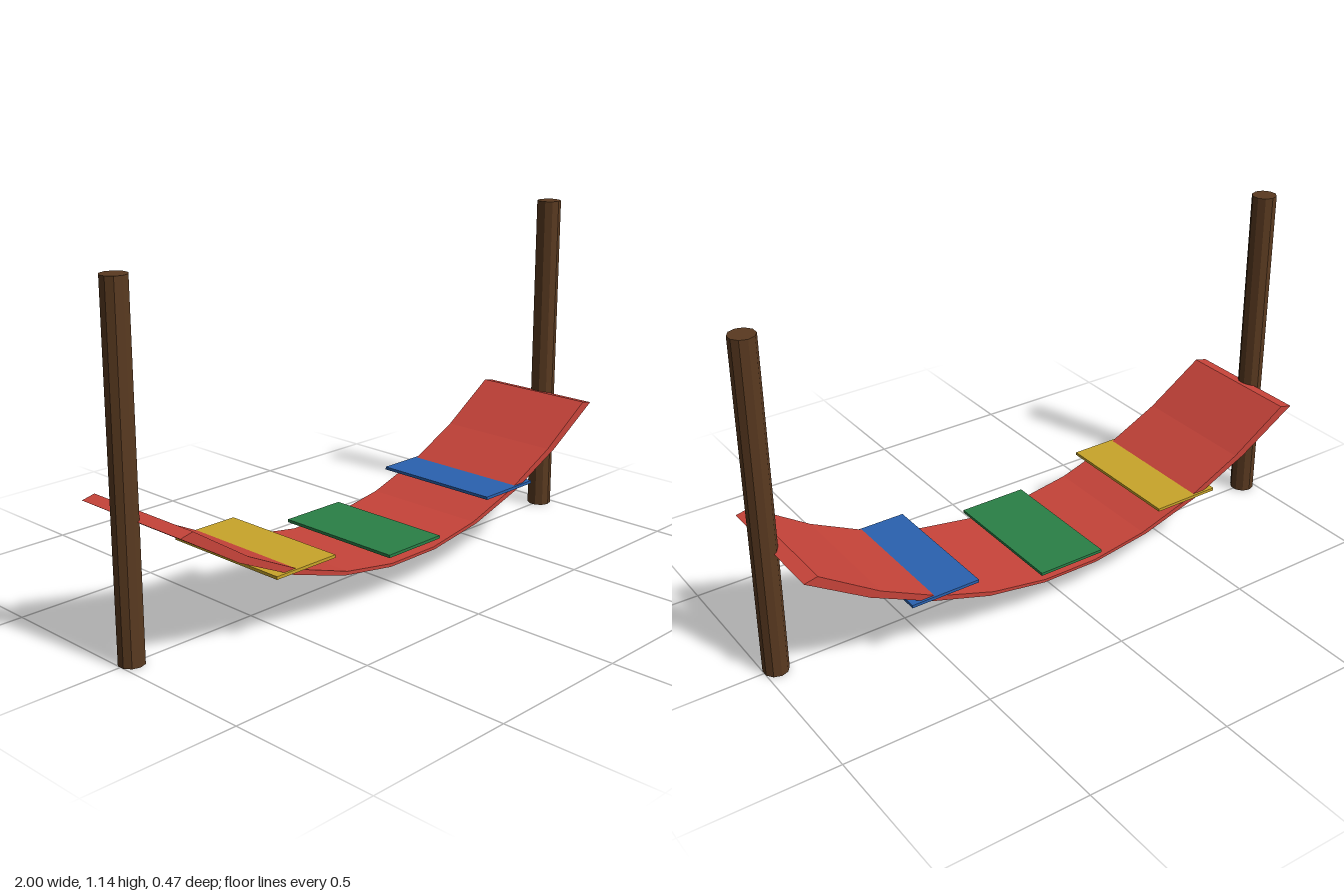
import * as THREE from 'three';

const mat = (name, color, flatShading = false) => {
  const m = new THREE.MeshStandardMaterial({ color, flatShading });
  m.name = name;
  return m;
};

export function createModel() {
  const group = new THREE.Group();
  const wood = mat('brown wood', 0x5a3a20, true);
  const red = mat('red cloth', 0xc8443a, true);
  const yellow = mat('yellow cloth', 0xc9a52a);
  const green = mat('green cloth', 0x2a8047);
  const blue = mat('blue cloth', 0x2a62b0);

  const add = (name, geometry, material, x, y, z = 0) => {
    const mesh = new THREE.Mesh(geometry, material);
    mesh.name = name;
    mesh.position.set(x, y, z);
    group.add(mesh);
  };

  // Two ten-sided posts
  const postGeometry = new THREE.CylinderGeometry(0.042, 0.042, 1.14, 10);
  add('leftPost', postGeometry, wood, 0.96, 0.57);
  add('rightPost', postGeometry, wood, -0.96, 0.57);

  // Sagging bed: upper curve, then a slightly wider and lower curve back
  const sag = (x) => 0.116 + 0.409 * x * x;
  const upper = [];
  const lower = [];
  for (let i = 0; i < 10; i++) {
    const x = -0.9 + i * 0.2;
    upper.push(new THREE.Vector2(x, sag(x)));
    lower.unshift(new THREE.Vector2(x * 1.05, sag(x) - 0.01));
  }
  const bed = new THREE.ExtrudeGeometry(new THREE.Shape([...upper, ...lower]), {
    depth: 0.45, bevelEnabled: false,
  });
  add('hammockBed', bed, red, 0, 0, -0.225);

  // Three flat coloured bands lying across the bed
  const bandGeometry = new THREE.BoxGeometry(0.24, 0.01, 0.466);
  add('rightBand', bandGeometry, yellow, -0.48, 0.222);
  add('middleBand', bandGeometry, green, 0, 0.151);
  add('leftBand', bandGeometry, blue, 0.48, 0.222);

  return group;
}
